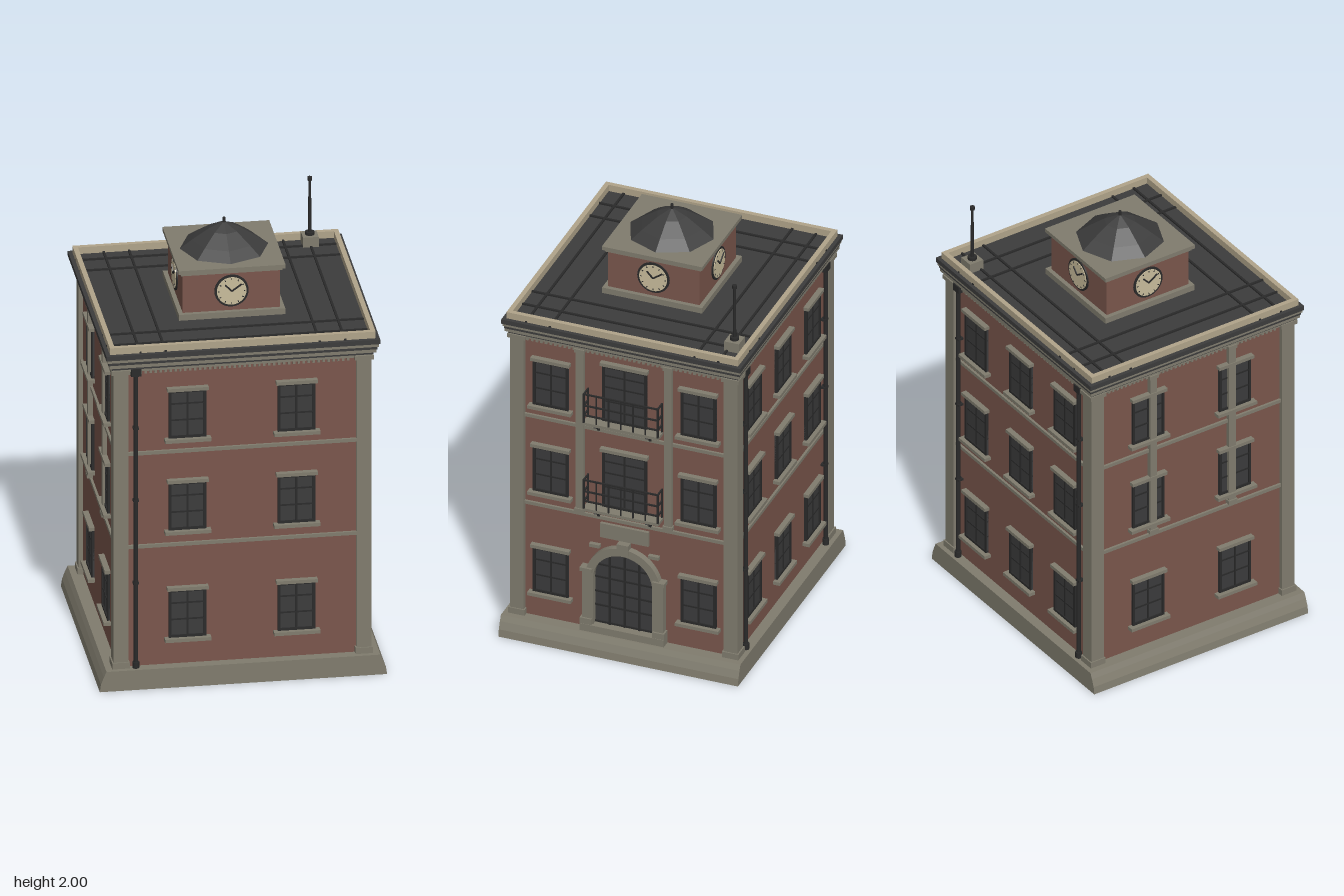
import * as THREE from 'three';

const mat = (name, color) => Object.assign(new THREE.MeshStandardMaterial({ color }), { name });
const brick = mat('brick', 0x7a564c), stone = mat('stone', 0x807c6e), cream = mat('parapet cream', 0xb0a48a);
const slate = mat('slate', 0x3c3c3c), iron = mat('dark iron', 0x2a2a2a), glass = mat('dark glass', 0x3b3b3c);
const dial = mat('clock dial', 0xc9bd9c);

const WX = 0.555, WZ = 0.52; // wall half sizes
const LEVELS = [0.21, 0.73, 1.175]; // sill heights

function add(parent, name, geometry, material, x = 0, y = 0, z = 0) {
  const m = new THREE.Mesh(geometry, material);
  m.name = name;
  m.position.set(x, y, z);
  parent.add(m);
  return m;
}
// Box given by its bottom height and its centre in x and z
const box = (p, name, m, w, h, d, x, y, z) => add(p, name, new THREE.BoxGeometry(w, h, d), m, x, y + h / 2, z);
const rod = (p, name, m, r, h, x, y, z, r2 = r) => add(p, name, new THREE.CylinderGeometry(r2, r, h, 12), m, x, y + h / 2, z);

function group(parent, name) {
  const g = new THREE.Group();
  g.name = name;
  parent.add(g);
  return g;
}

// Glazed opening: pane, frame, glazing bars
function glazing(g, w, h, x, y, rows) {
  box(g, 'pane', glass, w, h, 0.008, x, y, 0.002);
  for (const s of [-1, 1]) box(g, 'frameSide', iron, 0.012, h, 0.018, x + s * (w / 2 - 0.006), y, 0.004);
  for (const yy of [y, y + h - 0.012]) box(g, 'frameRail', iron, w, 0.012, 0.018, x, yy, 0.004);
  box(g, 'mullion', iron, 0.008, h, 0.014, x, y, 0.003);
  for (const r of rows) box(g, 'glazingBar', iron, w, 0.007, 0.013, x, y + h * r, 0.003);
}

function windowUnit(parent, x, y) {
  const g = group(parent, 'window');
  glazing(g, 0.168, 0.232, x, y + 0.015, [0.36, 0.7]);
  box(g, 'lintel', stone, 0.184, 0.016, 0.035, x, y + 0.245, 0.008);
  box(g, 'sill', stone, 0.206, 0.016, 0.045, x, y, 0.01);
}

// Wall dressing in a local frame whose z = 0 is the wall plane
function facade(parent, name, turn, dist, half, columns, floors = LEVELS) {
  const g = group(parent, name);
  g.rotation.y = turn;
  g.position.set(Math.sin(turn) * dist, 0, Math.cos(turn) * dist);
  for (const y of floors) for (const x of columns) windowUnit(g, x, y);
  for (const y of [0.667, 1.118]) box(g, 'stringCourse', stone, 2 * half, 0.016, 0.022, 0, y, 0);
  for (let x = -half + 0.06; x <= half - 0.06; x += 0.022) box(g, 'dentil', stone, 0.011, 0.016, 0.024, x, 1.514, 0);
  return g;
}

function downpipe(parent, x) {
  const g = group(parent, 'downpipe');
  rod(g, 'pipe', iron, 0.01, 1.43, x, 0.095, 0.02);
  rod(g, 'pipeFoot', iron, 0.015, 0.03, x, 0.095, 0.02);
  box(g, 'hopper', iron, 0.045, 0.035, 0.03, x, 1.51, 0.018);
  for (const y of [0.5, 0.9, 1.25]) box(g, 'pipeClip', iron, 0.025, 0.01, 0.03, x, y, 0.012);
}

function balcony(parent, y) {
  const g = group(parent, 'balcony');
  glazing(g, 0.21, 0.29, 0, y, [0.35, 0.6, 0.8]);
  box(g, 'balconyLintel', stone, 0.226, 0.016, 0.035, 0, y + 0.29, 0.008);
  box(g, 'balconyFloor', stone, 0.36, 0.014, 0.06, 0, y - 0.012, 0.028);
  for (const s of [-1, 1]) {
    const b = box(g, 'bracket', iron, 0.012, 0.01, 0.06, s * 0.122, y - 0.035, 0.028);
    b.rotation.x = -0.55;
    box(g, 'bracketFoot', iron, 0.012, 0.04, 0.008, s * 0.122, y - 0.052, 0.012);
    box(g, 'cornerPost', iron, 0.009, 0.15, 0.009, s * 0.175, y, 0.054);
    box(g, 'wallPost', iron, 0.007, 0.15, 0.007, s * 0.175, y, 0.004);
    for (const h of [0.035, 0.085, 0.143]) box(g, 'sideRail', iron, 0.007, 0.007, 0.056, s * 0.175, y + h, 0.028);
  }
  for (const h of [0.035, 0.085, 0.143]) box(g, 'frontRail', iron, 0.356, 0.007, 0.007, 0, y + h, 0.054);
  for (let i = -2; i <= 2; i++) box(g, 'baluster', iron, 0.006, 0.145, 0.006, i * 0.058, y, 0.054);
}

// Arched outline, flat at the bottom
function arch(shape, r, y0, spring) {
  shape.moveTo(-r, y0);
  shape.lineTo(r, y0);
  shape.lineTo(r, spring);
  shape.absarc(0, spring, r, 0, Math.PI, false);
  shape.lineTo(-r, y0);
  return shape;
}
const slab = (shape, depth) => new THREE.ExtrudeGeometry(shape, { depth, bevelEnabled: false, curveSegments: 16 });

function entrance(parent) {
  const g = group(parent, 'entrance');
  add(g, 'doorPane', slab(arch(new THREE.Shape(), 0.147, 0.13, 0.37), 0.006), glass);
  const ring = arch(new THREE.Shape(), 0.178, 0.13, 0.37);
  ring.holes.push(arch(new THREE.Path(), 0.14, 0.131, 0.37));
  add(g, 'archSurround', slab(ring, 0.032), stone);
  for (const x of [-0.07, 0, 0.07]) box(g, 'doorBar', iron, 0.009, x ? 0.35 : 0.38, 0.014, x, 0.13, 0.004);
  for (const y of [0.135, 0.22, 0.29, 0.365, 0.43]) box(g, 'doorRail', iron, y > 0.4 ? 0.25 : 0.28, 0.008, 0.014, 0, y, 0.004);
  for (const s of [-1, 1]) {
    box(g, 'doorPilaster', stone, 0.045, 0.28, 0.04, s * 0.17, 0.13, 0.015);
    box(g, 'doorCapital', stone, 0.058, 0.018, 0.05, s * 0.172, 0.4, 0.018);
    box(g, 'doorPlinth', stone, 0.056, 0.03, 0.05, s * 0.172, 0.13, 0.018);
    box(g, 'hoodPiece', stone, 0.05, 0.016, 0.025, s * 0.14, 0.52, 0.008);
  }
  box(g, 'doorStep', stone, 0.4, 0.036, 0.05, 0, 0.095, 0.02);
  box(g, 'keystone', stone, 0.055, 0.052, 0.042, 0, 0.52, 0.015);
  box(g, 'plaque', stone, 0.23, 0.072, 0.02, 0, 0.578, 0.005);
}

function clock(parent, turn) {
  const g = group(parent, 'clock');
  g.rotation.y = turn;
  const disc = (name, r, d, m) => { add(g, name, new THREE.CylinderGeometry(r, r, d, 32), m, 0, 1.745, 0.217).rotation.x = Math.PI / 2; };
  disc('clockRim', 0.076, 0.012, iron);
  disc('clockFace', 0.066, 0.018, dial);
  for (const [a, len] of [[0.75, 0.042], [-0.95, 0.054]]) {
    const h = add(g, 'clockHand', new THREE.BoxGeometry(0.007, len, 0.004), iron, -Math.sin(a) * len / 2, 1.745 + Math.cos(a) * len / 2, 0.228);
    h.rotation.z = a;
  }
  for (let i = 0; i < 12; i++) {
    const a = i * Math.PI / 6;
    add(g, 'hourMark', new THREE.BoxGeometry(0.004, 0.008, 0.002), iron, Math.sin(a) * 0.058, 1.745 + Math.cos(a) * 0.058, 0.2265).rotation.z = -a;
  }
}

export function createModel() {
  const root = new THREE.Group();
  root.name = 'clockTowerBuilding';

  // Flared base
  const half = [[0.64, 0], [0.635, 0.035], [0.622, 0.07], [0.61, 0.096]];
  const outline = [...half, ...half.map(([x, y]) => [-x, y]).reverse()].map(([x, y]) => new THREE.Vector2(x, y));
  add(root, 'base', slab(new THREE.Shape(outline), 1.136), stone, 0, 0, -0.568);

  // Walls and corner piers
  box(root, 'walls', brick, 2 * WX, 1.46, 2 * WZ, 0, 0.09, 0);
  for (const sx of [-1, 1]) for (const sz of [-1, 1]) {
    const x = sx * 0.542, z = sz * 0.507;
    box(root, 'cornerPier', stone, 0.066, 1.44, 0.066, x, 0.09, z);
    box(root, 'pierFoot', stone, 0.078, 0.03, 0.078, x, 0.095, z);
    box(root, 'pierCapital', stone, 0.084, 0.02, 0.084, x, 1.52, z);
  }

  // Four faces
  const front = facade(root, 'frontFace', 0, WZ, WX, [-0.243, 0.243]);
  downpipe(front, -0.475);
  const back = facade(root, 'backFace', Math.PI, WZ, WX, [-0.35, 0, 0.35]);
  for (const x of [-0.475, 0.475]) downpipe(back, x);
  const right = facade(root, 'entranceFace', Math.PI / 2, WX, WZ, [-0.35, 0.35]);
  const left = facade(root, 'leftFace', -Math.PI / 2, WX, WZ, [-0.23, 0.23]);
  entrance(right);
  for (const y of [0.735, 1.178]) balcony(right, y);
  for (const face of [right, left]) for (const x of [-0.209, 0.209]) {
    box(face, 'pilaster', stone, 0.036, 0.84, 0.034, x, 0.69, 0.004);
    box(face, 'pilasterFoot', stone, 0.046, 0.018, 0.042, x, 0.69, 0.006);
    box(face, 'pilasterCapital', stone, 0.046, 0.018, 0.042, x, 1.512, 0.006);
  }

  // Layered cornice and roof edge
  const layers = [[0.575, 0.54, 1.53, 0.014, stone], [0.583, 0.546, 1.544, 0.012, slate], [0.595, 0.556, 1.556, 0.016, stone],
    [0.598, 0.558, 1.572, 0.014, slate], [0.604, 0.563, 1.586, 0.014, stone], [0.61, 0.567, 1.6, 0.022, slate]];
  for (const [x, z, y, h, m] of layers) box(root, 'corniceLayer', m, 2 * x, h, 2 * z, 0, y, 0);

  // Parapet and roof seams
  for (const s of [-1, 1]) {
    box(root, 'parapet', cream, 1.184, 0.034, 0.022, 0, 1.62, s * 0.538);
    box(root, 'parapet', cream, 0.022, 0.034, 1.056, s * 0.581, 1.62, 0);
    for (const p of [0.343, 0.456]) {
      box(root, 'roofSeam', iron, 0.01, 0.008, 1.102, s * p, 1.621, 0);
      box(root, 'roofSeam', iron, 1.188, 0.008, 0.01, 0, 1.621, s * p);
    }
  }

  // Clock turret
  const turret = group(root, 'turret');
  box(turret, 'turretPlinth', stone, 0.474, 0.03, 0.474, 0, 1.62, 0);
  box(turret, 'turretWalls', brick, 0.434, 0.2, 0.434, 0, 1.64, 0);
  box(turret, 'turretLedge', stone, 0.454, 0.012, 0.454, 0, 1.832, 0);
  box(turret, 'turretLedgeTop', stone, 0.476, 0.018, 0.476, 0, 1.844, 0);
  for (let i = 0; i < 4; i++) clock(turret, i * Math.PI / 2);
  const profile = [[0.2, 1.86], [0.145, 1.9], [0.07, 1.95], [0, 1.982]].map(([r, y]) => new THREE.Vector2(r, y));
  const dome = new THREE.LatheGeometry(profile, 8).toNonIndexed();
  dome.computeVertexNormals();
  add(turret, 'turretRoof', dome, slate);
  rod(turret, 'finial', iron, 0.007, 0.03, 0, 1.97, 0);

  // Aerial
  const aerial = group(root, 'aerial');
  aerial.position.set(0.455, 0, -0.478);
  box(aerial, 'aerialBlock', stone, 0.07, 0.05, 0.07, 0, 1.62, 0);
  rod(aerial, 'aerialSocket', iron, 0.021, 0.016, 0, 1.668, 0);
  rod(aerial, 'aerialPole', iron, 0.008, 0.265, 0, 1.675, 0, 0.006);
  rod(aerial, 'aerialTip', iron, 0.011, 0.016, 0, 1.932, 0);
  return root;
}
